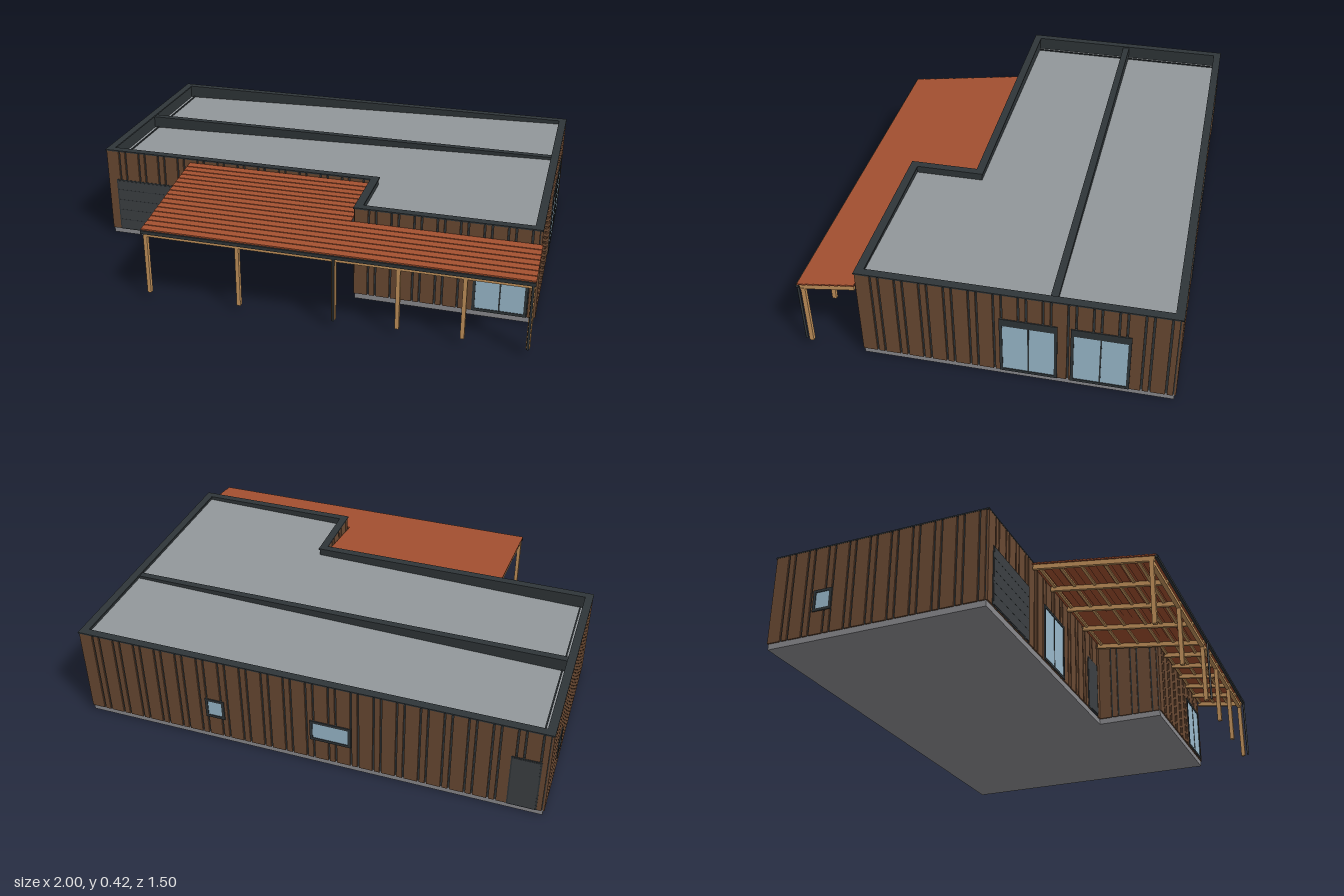
import * as THREE from 'three';

const mat = (color) => new THREE.MeshStandardMaterial({ color });

export function createModel() {
  const M = {
    board: mat(0x6b4a33), trim: mat(0x2f3538), slab: mat(0x8c8c90), roof: mat(0x92979a),
    glass: mat(0x9cbccf), door: mat(0x3d4144), tile: mat(0xa35030), wood: mat(0xc4935c),
  };
  const house = new THREE.Group();
  house.name = 'house';

  const add = (parent, name, geo, material, x = 0, y = 0, z = 0) => {
    const m = new THREE.Mesh(geo, material);
    m.name = name;
    m.position.set(x, y, z);
    parent.add(m);
    return m;
  };
  const box = (parent, name, material, w, h, d, x, y, z) =>
    add(parent, name, new THREE.BoxGeometry(w, h, d), material, x, y, z);

  // L-shaped footprint, inset by i, as [x, z] corners
  const outline = (i) => [
    [-1 + i, 0.22 - i], [0.24 + i, 0.22 - i], [0.24 + i, 0.51 - i],
    [1 - i, 0.51 - i], [1 - i, -0.75 + i], [-1 + i, -0.75 + i],
  ];
  const points = (i) => outline(i).map(([x, z]) => new THREE.Vector2(x, -z));
  const extrudeL = (inset, height, holeInset) => {
    const shape = new THREE.Shape(points(inset));
    if (holeInset) shape.holes.push(new THREE.Path(points(holeInset)));
    return new THREE.ExtrudeGeometry(shape, { depth: height, bevelEnabled: false }).rotateX(-Math.PI / 2);
  };

  // Foundation, wall core and parapet cap
  add(house, 'foundation', extrudeL(0.01, 0.026), M.slab);
  add(house, 'wallCore', extrudeL(0.01, 0.39, 0.033), M.trim, 0, 0.025, 0);
  add(house, 'parapetCap', extrudeL(0.003, 0.006, 0.037), M.trim, 0, 0.414, 0);

  // Roof deck falling gently towards the left-hand gutter
  const deck = extrudeL(0.03, 0.01);
  const p = deck.attributes.position;
  for (let i = 0; i < p.count; i++) p.setY(i, p.getY(i) + 0.37 + 0.022 * p.getX(i));
  deck.computeVertexNormals();
  add(house, 'roofDeck', deck, M.roof);
  box(house, 'roofDivider', M.trim, 1.95, 0.06, 0.03, 0, 0.383, -0.265);
  box(house, 'roofGutter', M.trim, 0.006, 0.012, 0.9, -0.948, 0.358, -0.265);

  // Vertical cladding: wide and narrow boards alternate with dark gaps
  const cladding = new THREE.Group();
  cladding.name = 'cladding';
  house.add(cladding);
  const corners = outline(0.008);
  corners.forEach(([ax, az], k) => {
    const [bx, bz] = corners[(k + 1) % corners.length];
    const length = Math.hypot(bx - ax, bz - az);
    const wall = new THREE.Group();
    wall.name = 'wallBoards';
    wall.position.set(ax, 0, az);
    wall.rotation.y = Math.atan2(az - bz, bx - ax);
    cladding.add(wall);
    const pairs = Math.round(length / 0.096);
    const period = length / pairs;
    for (let i = 0; i < pairs; i++) {
      const wide = period * 0.6, narrow = period * 0.24, gap = period * 0.08;
      box(wall, 'wideBoard', M.board, wide, 0.39, 0.008, i * period + wide / 2, 0.22, 0);
      box(wall, 'narrowBoard', M.board, narrow, 0.39, 0.008,
        i * period + wide + gap + narrow / 2, 0.22, 0);
    }
  });

  // Openings face local +z, then turn to the wall they belong to
  const opening = (name, x, z, turn, w, y0, y1) => {
    const g = new THREE.Group();
    g.name = name;
    g.position.set(x, (y0 + y1) / 2, z);
    g.rotation.y = turn;
    house.add(g);
    return [g, w, y1 - y0];
  };
  const addWindow = (name, x, z, turn, w, y0, y1, panes, header = 0.012) => {
    const [g, , h] = opening(name, x, z, turn, w, y0, y1);
    const t = 0.012, d = 0.016;
    for (const s of [-1, 1]) box(g, 'frameSide', M.trim, t, h, d, s * (w - t) / 2, 0, -0.008);
    box(g, 'frameHead', M.trim, w, header, d, 0, (h - header) / 2, -0.008);
    box(g, 'frameSill', M.trim, w, t, d, 0, (t - h) / 2, -0.008);
    box(g, 'glass', M.glass, w - t, h - t, 0.01, 0, 0, -0.0078);
    for (let i = 1; i < panes; i++) box(g, 'mullion', M.trim, 0.006, h, 0.012, w * (i / panes - 0.5), 0, -0.007);
  };
  const addDoor = (name, x, z, turn, w, y0, y1, ribs = 0) => {
    const [g, , h] = opening(name, x, z, turn, w, y0, y1);
    box(g, 'doorFrame', M.trim, w, h, 0.012, 0, 0, -0.008);
    box(g, 'doorLeaf', M.door, w - 0.012, h - 0.012, 0.012, 0, 0, -0.0065);
    for (let i = 1; i < ribs; i++) box(g, 'doorRib', M.trim, w - 0.012, 0.002, 0.012, 0, h * (i / ribs - 0.5), -0.006);
  };
  const Q = Math.PI / 2;
  addDoor('garageDoor', -0.78, 0.22, 0, 0.345, 0.025, 0.277, 5);
  addWindow('frontSlidingWindow', -0.335, 0.22, 0, 0.225, 0.026, 0.28, 2);
  addDoor('frontDoor', 0.145, 0.22, 0, 0.13, 0.025, 0.277);
  addWindow('wingSlidingWindow', 0.85, 0.51, 0, 0.22, 0.026, 0.28, 2);
  addWindow('rightWindowFront', 1, -0.172, Q, 0.226, 0.026, 0.297, 2, 0.034);
  addWindow('rightWindowBack', 1, -0.451, Q, 0.23, 0.026, 0.297, 2, 0.034);
  addWindow('backSmallWindow', 0.393, -0.75, 2 * Q, 0.085, 0.12, 0.215, 1);
  addWindow('backWideWindow', -0.115, -0.75, 2 * Q, 0.175, 0.125, 0.225, 1);
  addDoor('backDoor', -0.905, -0.75, 2 * Q, 0.12, 0.025, 0.277);
  addWindow('leftSmallWindow', -1, -0.5, -Q, 0.085, 0.125, 0.22, 1);

  // Porch: tiled slope wrapping the inner corner
  const porch = new THREE.Group();
  porch.name = 'porch';
  house.add(porch);
  const slope = 0.15, tilt = Math.atan(slope);
  const roofY = (z) => 0.323 + (0.74 - z) * slope;
  const tiles = (z0, z1, x0, x1, rows) => {
    const step = (z1 - z0) / rows;
    for (let i = 0; i < rows; i++) {
      const z = z0 + (i + 0.5) * step;
      const row = box(porch, 'tileRow', M.tile, x1 - x0, 0.006, step * 1.08, (x0 + x1) / 2, roofY(z), z);
      row.rotation.x = tilt - 0.09;
    }
  };
  tiles(0.22, 0.51, -0.583, 0.237, 9);
  tiles(0.51, 0.742, -0.583, 1, 7);
  box(porch, 'porchGutter', M.trim, 1.583, 0.014, 0.012, 0.2085, 0.314, 0.744);

  // Timber frame: posts, front beam, rafters and battens
  const postX = [-0.573, -0.178, 0.222, 0.48, 0.738, 0.99];
  postX.forEach((x) => box(porch, 'post', M.wood, 0.016, 0.27, 0.018, x, 0.16, 0.722));
  box(porch, 'frontBeam', M.wood, 1.58, 0.018, 0.018, 0.2085, 0.296, 0.722);
  const rafter = (x, z0, z1) => {
    const zc = (z0 + z1) / 2;
    const m = box(porch, 'rafter', M.wood, 0.013, 0.02, (z1 - z0) / Math.cos(tilt), x, roofY(zc) - 0.015, zc);
    m.rotation.x = tilt;
  };
  [-0.573, -0.375, -0.178, 0.022, 0.222].forEach((x) => rafter(x, 0.22, 0.735));
  [0.35, 0.48, 0.61, 0.738, 0.865, 0.99].forEach((x) => rafter(x, 0.51, 0.735));
  for (const z of [0.24, 0.33, 0.42]) box(porch, 'batten', M.wood, 0.81, 0.008, 0.012, -0.173, roofY(z) - 0.007, z);
  for (const z of [0.52, 0.59, 0.66]) box(porch, 'batten', M.wood, 1.575, 0.008, 0.012, 0.209, roofY(z) - 0.007, z);

  // Downpipes in front of two posts
  for (const x of [0.225, 0.99]) {
    add(porch, 'downpipe', new THREE.CylinderGeometry(0.005, 0.005, 0.285, 10), M.trim, x, 0.172, 0.745);
  }
  return house;
}
